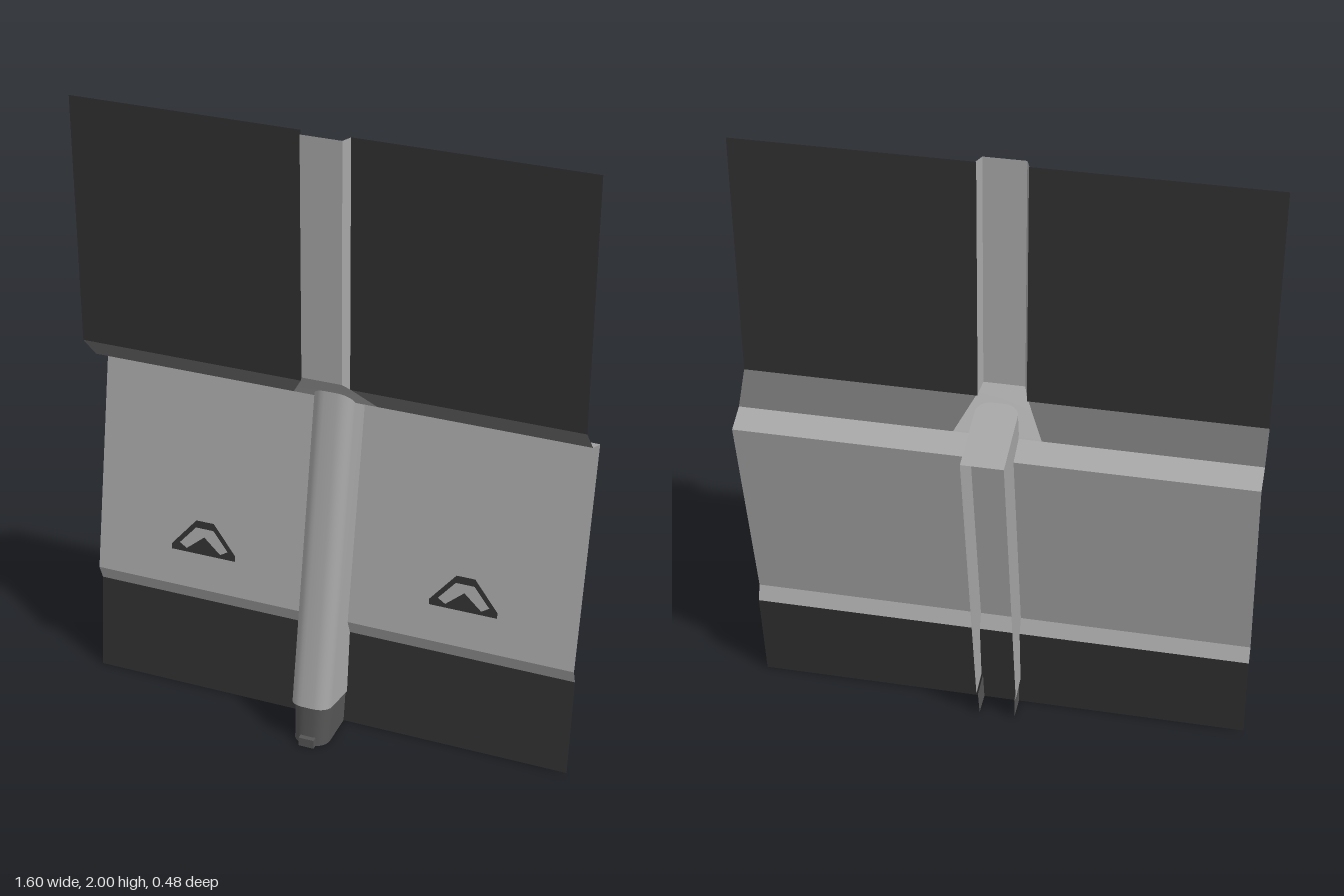
import * as THREE from 'three';
import { toCreasedNormals } from 'three/addons/utils/BufferGeometryUtils.js';

const LEAN = 0.192; // backward tilt of the wall and its buttress

const paint = (name, color) => {
  const m = new THREE.MeshStandardMaterial({ color, side: THREE.DoubleSide });
  m.name = name;
  return m;
};

// Open sheet through rows of [x, y, z] points
function sheet(rows) {
  const n = rows[0].length, index = [];
  for (let r = 0; r < rows.length - 1; r++) {
    for (let c = 0; c < n - 1; c++) {
      const a = r * n + c, b = a + n;
      index.push(a, a + 1, b + 1, a, b + 1, b);
    }
  }
  const g = new THREE.BufferGeometry();
  g.setAttribute('position', new THREE.Float32BufferAttribute(rows.flat(2), 3));
  g.setIndex(index);
  return toCreasedNormals(g, 0.55);
}

// U-shaped outline in plan, open at the back: [x, z] points
function channelOutline(w, front, back, r) {
  const pts = [[-w, back]];
  for (let i = 0; i <= 6; i++) {
    const a = (i / 6) * Math.PI / 2;
    pts.push([-w + r - r * Math.cos(a), front - r + r * Math.sin(a)]);
  }
  return pts.concat(pts.map(([x, z]) => [-x, z]).reverse());
}

export function createModel() {
  const light = paint('light grey', 0xa6a6a6);
  const mid = paint('middle grey', 0x6c6c6c);
  const base = paint('base grey', 0x555555);
  const dark = paint('charcoal', 0x303030);

  const model = new THREE.Group();
  const add = (name, geometry, material, parent = model) => {
    const mesh = new THREE.Mesh(geometry, material);
    mesh.name = name;
    parent.add(mesh);
    return mesh;
  };
  // Strip across the full width between two [y, z] levels
  const strip = (name, [y0, z0], [y1, z1], material) => add(name, sheet([
    [[-0.8, y0, z0], [0.8, y0, z0]],
    [[-0.8, y1, z1], [0.8, y1, z1]],
  ]), material);

  // Wall, from the ground up
  strip('lowerPanel', [0, 0.065], [0.32, 0.03], dark);
  strip('wallBottomLip', [0.32, 0.03], [0.37, 0.05], light);
  strip('wallPanel', [0.37, 0.05], [1.09, -0.09], light);
  strip('ledge', [1.09, -0.09], [1.12, -0.01], light);

  // Overhang and upper panels on either side of the pillar
  for (const s of [-1, 1]) {
    const side = s > 0 ? 'left' : 'right';
    add(side + 'Overhang', sheet([
      [[0.135 * s, 1.12, -0.01], [0.8 * s, 1.12, -0.01]],
      [[0.08 * s, 1.205, 0.067], [0.8 * s, 1.205, 0.067]],
    ]), mid);
    add(side + 'UpperPanel', sheet([
      [[0.075 * s, 1.205, 0.067], [0.8 * s, 1.205, 0.067]],
      [[0.075 * s, 2, 0.067], [0.8 * s, 2, 0.067]],
    ]), dark);
  }

  // Flared bracket under the pillar
  add('pillarBracket', sheet([
    [[-0.135, 1.12, -0.01], [0.135, 1.12, -0.01]],
    [[-0.08, 1.205, 0.067], [0.08, 1.205, 0.067]],
    [[-0.064, 1.235, 0.1], [0.064, 1.235, 0.1]],
  ]), light);

  // Hollow upper pillar, open at the back
  const pillarRow = (yFront, yBack) => [
    [-0.077, yBack, 0.067], [-0.064, yFront, 0.1], [0.064, yFront, 0.1], [0.077, yBack, 0.067],
  ];
  add('upperPillar', sheet([pillarRow(1.235, 1.205), pillarRow(2, 2)]), light);

  // Leaning buttress: hollow shell with a closed top
  const buttress = new THREE.Group();
  buttress.name = 'buttress';
  buttress.position.set(0, 0.092, -0.03);
  buttress.rotation.x = -LEAN;
  model.add(buttress);
  const outline = channelOutline(0.065, 0.262, 0, 0.045);
  add('buttressShell', sheet([0, 1.1].map((y) => outline.map(([x, z]) => [x, y, z]))), light, buttress);
  const cap = new THREE.ShapeGeometry(new THREE.Shape(outline.map(([x, z]) => new THREE.Vector2(x, -z))));
  cap.rotateX(-Math.PI / 2);
  cap.translate(0, 1.1, 0);
  add('buttressCap', cap, light, buttress);

  // Foot of the buttress, running down to the ground
  const footTop = channelOutline(0.06, 0.215, -0.03, 0.045);
  const footBottom = channelOutline(0.058, 0.226, -0.015, 0.045);
  add('buttressFoot', sheet([
    footBottom.map(([x, z]) => [x, 0, z]),
    footTop.map(([x, z]) => [x, 0.096 + z * 0.17, z]),
  ]), base);
  const toe = new THREE.BoxGeometry(0.05, 0.03, 0.03);
  toe.translate(0, 0.015, 0.225);
  add('footToe', toe, base);

  // Painted chevron markings on the wall
  const points = (list) => list.map(([x, y]) => new THREE.Vector2(x, y));
  const mark = new THREE.Shape(points([
    [-0.11, 0], [0.11, 0], [0.11, 0.018], [0.03, 0.112], [-0.03, 0.112], [-0.11, 0.018],
  ]));
  mark.holes.push(new THREE.Path(points([
    [-0.083, 0.027], [-0.03, 0.088], [0.03, 0.088], [0.083, 0.027], [0.058, 0.012], [0, 0.06], [-0.058, 0.012],
  ])));
  const markGeometry = new THREE.ShapeGeometry(mark);
  for (const s of [-1, 1]) {
    const plate = add(s > 0 ? 'leftMarking' : 'rightMarking', markGeometry, dark);
    plate.position.set(0.435 * s, 0.49, 0.0317);
    plate.rotation.x = -LEAN;
  }

  return model;
}
